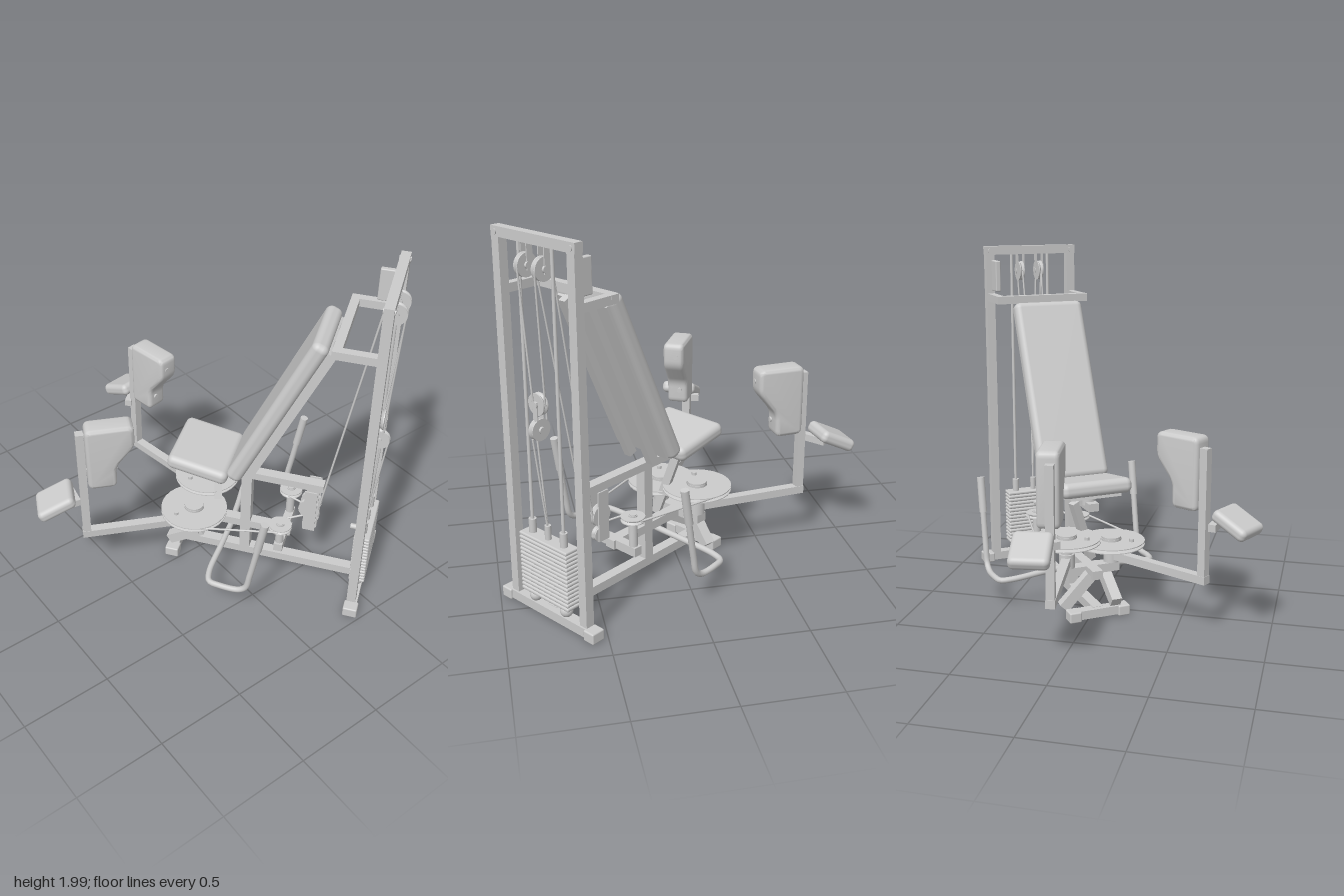
import * as THREE from 'three';
import { RoundedBoxGeometry } from 'three/addons/geometries/RoundedBoxGeometry.js';
import { toCreasedNormals } from 'three/addons/utils/BufferGeometryUtils.js';

const grey = new THREE.MeshStandardMaterial({ color: 0xcccccc });
const V = (x, y, z) => new THREE.Vector3(x, y, z);

function add(parent, name, geometry, x = 0, y = 0, z = 0) {
  const mesh = new THREE.Mesh(geometry, grey);
  mesh.name = name;
  mesh.position.set(x, y, z);
  parent.add(mesh);
  return mesh;
}
const box = (parent, name, w, h, d, x, y, z) => add(parent, name, new THREE.BoxGeometry(w, h, d), x, y, z);
const pad = (parent, name, w, h, d, r, x, y, z) => add(parent, name, new RoundedBoxGeometry(w, h, d, 4, r), x, y, z);
const cyl = (parent, name, r, h, x, y, z) => add(parent, name, new THREE.CylinderGeometry(r, r, h, 20), x, y, z);

// Round rod or cable between two points
function rod(parent, name, a, b, r) {
  const mesh = cyl(parent, name, r, a.distanceTo(b), 0, 0, 0);
  mesh.position.copy(a).add(b).multiplyScalar(0.5);
  mesh.quaternion.setFromUnitVectors(V(0, 1, 0), b.clone().sub(a).normalize());
  return mesh;
}

// Square tube between two points
function beam(parent, name, a, b, w, h = w) {
  const mesh = box(parent, name, w, h, a.distanceTo(b), 0, 0, 0);
  mesh.position.copy(a).add(b).multiplyScalar(0.5);
  mesh.lookAt(b);
  return mesh;
}

// Grooved wheel, axis along x, y or z
function pulley(parent, name, r, w, axis, x, y, z) {
  const h = w / 2;
  const pts = [[0, -h], [r, -h], [r, -h * 0.6], [r * 0.85, 0], [r, h * 0.6], [r, h], [0, h]]
    .map(p => new THREE.Vector2(p[0], p[1]));
  const mesh = add(parent, name, toCreasedNormals(new THREE.LatheGeometry(pts, 28), 0.5), x, y, z);
  if (axis === 'x') mesh.rotation.z = Math.PI / 2;
  if (axis === 'z') mesh.rotation.x = Math.PI / 2;
  rod(mesh, name + 'Hub', V(0, -h - 0.012, 0), V(0, h + 0.012, 0), r * 0.3);
  return mesh;
}

// Polygon with rounded corners
function roundedShape(points, r) {
  const p = points.map(q => new THREE.Vector2(q[0], q[1]));
  const s = new THREE.Shape();
  p.forEach((c, i) => {
    const prev = p[(i + p.length - 1) % p.length], next = p[(i + 1) % p.length];
    const a = c.clone().add(prev.clone().sub(c).setLength(r));
    const b = c.clone().add(next.clone().sub(c).setLength(r));
    if (i) s.lineTo(a.x, a.y); else s.moveTo(a.x, a.y);
    s.quadraticCurveTo(c.x, c.y, b.x, b.y);
  });
  s.closePath();
  return s;
}

function buildFrame(m) {
  // Base
  box(m, 'rearBaseBar', 0.62, 0.05, 0.06, 0, 0.035, -0.965);
  box(m, 'frontBaseBar', 0.3, 0.05, 0.06, 0, 0.035, 0.14);
  box(m, 'baseSpine', 0.06, 0.05, 1.1, 0, 0.037, -0.41);
  for (const s of [-1, 1]) {
    pad(m, 'rearFoot', 0.07, 0.06, 0.08, 0.008, s * 0.31, 0.03, -0.965);
    pad(m, 'frontFoot', 0.07, 0.06, 0.08, 0.008, s * 0.145, 0.03, 0.14);
    beam(m, 'frontLeg', V(s * 0.1, 0.05, 0.14), V(s * 0.1, 0.24, 0), 0.06);
    // Tower
    box(m, 'towerPost', 0.05, 1.92, 0.05, s * 0.257, 1.0, -0.96);
    box(m, 'towerSideRail', 0.045, 0.045, 0.24, s * 0.257, 1.69, -0.84);
    rod(m, 'boltHead', V(s * 0.257, 1.965, -0.99), V(s * 0.257, 1.965, -0.93), 0.014);
  }
  box(m, 'towerTopBar', 0.57, 0.05, 0.05, 0, 1.967, -0.96);
  box(m, 'towerFrontBar', 0.56, 0.045, 0.045, 0, 1.69, -0.74);
  pad(m, 'counterBox', 0.03, 0.18, 0.1, 0.006, -0.235, 1.82, -0.9);
  // Centre column and beams
  box(m, 'centrePost', 0.06, 0.59, 0.06, 0, 0.33, -0.27);
  box(m, 'lowerBeam', 0.06, 0.05, 0.68, 0, 0.245, -0.2);
  box(m, 'frontCrossBeam', 0.34, 0.05, 0.07, 0, 0.245, 0.01);
  box(m, 'rearCrossBeam', 0.34, 0.05, 0.05, 0, 0.245, -0.5);
  box(m, 'seatBeam', 0.06, 0.045, 0.79, 0, 0.62, -0.315);
  beam(m, 'seatStrut', V(0, 0.25, -0.06), V(0, 0.62, -0.13), 0.045);
}

function buildSeat(m) {
  const seat = pad(m, 'seatCushion', 0.41, 0.085, 0.35, 0.035, 0, 0.72, -0.02);
  seat.rotation.x = -0.17;
  box(seat, 'seatPlate', 0.3, 0.02, 0.26, 0, -0.05, 0);
  rod(m, 'seatBolt', V(0, 0.62, 0), V(0, 0.69, 0), 0.04);
  const back = new THREE.Group();
  back.name = 'backrest';
  back.position.set(0, 1.19, -0.44);
  back.rotation.x = -0.425;
  m.add(back);
  pad(back, 'backCushion', 0.415, 1.06, 0.09, 0.035, 0, 0, 0);
  box(back, 'backBoard', 0.36, 1.0, 0.02, 0, 0, -0.05);
  for (const s of [-1, 1]) box(back, 'backRail', 0.045, 1.05, 0.05, s * 0.08, -0.01, -0.08);
}

function buildWeights(m) {
  const n = 15;
  for (let i = 0; i < n; i++) pad(m, 'weightPlate', 0.35, 0.019, 0.09, 0.008, 0, 0.125 + i * 0.0225, -0.965);
  box(m, 'weightCore', 0.32, 0.33, 0.07, 0, 0.28, -0.965);
  for (const s of [-1, 1]) {
    rod(m, 'guideRod', V(s * 0.115, 0.06, -0.965), V(s * 0.115, 1.95, -0.965), 0.009);
    cyl(m, 'guideCollar', 0.02, 0.08, s * 0.115, 0.485, -0.965);
    add(m, 'rubberBuffer', new THREE.SphereGeometry(0.034, 20, 14), s * 0.115, 0.085, -0.965);
    // Overhead pulleys
    pulley(m, 'topPulley', 0.058, 0.028, 'x', s * 0.06, 1.84, -0.975);
    for (const t of [-1, 1]) box(m, 'topPulleyBracket', 0.006, 0.14, 0.035, s * 0.06 + t * 0.02, 1.885, -0.965);
  }
  cyl(m, 'selectorStem', 0.017, 0.08, 0, 0.485, -0.965);
  rod(m, 'selectorPin', V(0, 0.37, -0.93), V(0, 0.37, -0.88), 0.016);
  // Travelling double pulley
  pulley(m, 'upperFloatingPulley', 0.056, 0.03, 'z', 0.015, 1.17, -0.975);
  pulley(m, 'lowerFloatingPulley', 0.056, 0.03, 'x', 0.015, 1.04, -0.975);
  for (const t of [-1, 1]) box(m, 'floatingPulleyBracket', 0.03, 0.17, 0.006, 0.015, 1.1, -0.975 + t * 0.02);
  // Cables
  const c = (a, b) => rod(m, 'cable', a, b, 0.005);
  c(V(0, 0.5, -0.965), V(0.015, 1.0, -1.02));
  c(V(0.015, 1.03, -0.925), V(0.06, 1.84, -0.925));
  c(V(-0.035, 1.17, -0.975), V(-0.06, 1.84, -1.025));
  c(V(0.0, 0.52, -0.965), V(0.06, 1.84, -1.025));
  for (const s of [-1, 1]) c(V(s * 0.06, 1.84, -0.92), V(s * 0.035, 0.46, -0.69));
}

function buildDrive(m) {
  // Guide pulleys under the rear end of the seat beam
  for (const t of [-1, 0, 1]) box(m, 'guideBracket', 0.008, 0.28, 0.07, t * 0.07, 0.48, -0.65);
  for (const s of [-1, 1]) {
    pulley(m, 'guidePulley', 0.06, 0.03, 'x', s * 0.035, 0.47, -0.64);
    pulley(m, 'lowerGuidePulley', 0.042, 0.03, 'x', s * 0.035, 0.365, -0.65);
    // Cam discs, idlers and the cables round them
    const y = s > 0 ? 0.385 : 0.43, x = s * 0.135;
    pulley(m, 'camDisc', 0.19, 0.026, 'y', x, y, 0.01);
    cyl(m, 'camHub', 0.055, 0.05, x, y + 0.01, 0.01);
    cyl(m, 'camShaft', 0.032, y - 0.19, x, (y + 0.26) / 2, 0.01);
    cyl(m, 'camBolt', 0.014, 0.04, x + 0.09, y + 0.01, 0.09);
    pulley(m, 'idlerPulley', 0.065, 0.026, 'y', x, y, -0.5);
    cyl(m, 'idlerShaft', 0.024, y - 0.2, x, (y + 0.24) / 2, -0.5);
    rod(m, 'driveCable', V(x + s * 0.17, y, 0.01), V(x + s * 0.057, y, -0.5), 0.006);
    rod(m, 'driveCable', V(x - s * 0.057, y, -0.5), V(s * 0.035, 0.42, -0.63), 0.006);
  }
}

function buildArm(m, s) {
  const arm = new THREE.Group();
  arm.name = s > 0 ? 'leftLegArm' : 'rightLegArm';
  arm.position.set(s * 0.135, 0, 0.01);
  arm.rotation.y = s * THREE.MathUtils.degToRad(28);
  m.add(arm);
  cyl(arm, 'armPivot', 0.045, 0.08, 0, 0.31, 0);
  box(arm, 'armTube', 0.05, 0.045, 0.65, 0, 0.312, 0.325);
  box(arm, 'armUpright', 0.045, 0.74, 0.045, 0, 0.66, 0.625);
  // Knee pad
  const shape = roundedShape([[0.6, 0.685], [0.6, 1.085], [0.335, 1.085], [0.335, 0.95], [0.44, 0.82], [0.44, 0.685]], 0.035);
  const b = 0.022, depth = 0.12;
  const geo = new THREE.ExtrudeGeometry(shape, {
    depth: depth - 2 * b, bevelThickness: b, bevelSize: b, bevelOffset: -b, bevelSegments: 4, curveSegments: 5
  });
  geo.translate(0, 0, b - depth / 2).rotateY(-Math.PI / 2);
  add(arm, 'kneePad', toCreasedNormals(geo, 0.8), s * 0.015, 0, 0);
  for (const y of [0.77, 1.01]) rod(arm, 'kneePadBolt', V(0, y, y > 0.9 ? 0.33 : 0.43), V(0, y, 0.62), 0.014);
  // Ankle pad
  beam(arm, 'anklePadBracket', V(0, 0.62, 0.61), V(s * 0.05, 0.64, 0.77), 0.04);
  const ankle = pad(arm, 'anklePad', 0.205, 0.07, 0.22, 0.028, s * 0.07, 0.645, 0.785);
  ankle.rotation.x = 0.45;
}

function buildHandle(m, s) {
  const path = [[0, 0.2, -0.18], [0.2, 0.19, -0.17], [0.4, 0.175, -0.16], [0.465, 0.17, -0.18], [0.48, 0.17, -0.24],
    [0.48, 0.17, -0.35], [0.48, 0.2, -0.392], [0.48, 0.3, -0.415], [0.48, 0.69, -0.483]]
    .map(p => V(s * p[0], p[1], p[2]));
  const curve = new THREE.CatmullRomCurve3(path, false, 'centripetal');
  add(m, 'handleTube', new THREE.TubeGeometry(curve, 70, 0.017, 12));
  rod(m, 'handGrip', V(s * 0.48, 0.5, -0.45), V(s * 0.48, 0.7, -0.485), 0.022);
}

export function createModel() {
  const root = new THREE.Group();
  root.name = 'hipAbductionMachine';
  // The machine is built facing +z, then turned to its standing angle
  const m = new THREE.Group();
  m.name = 'machine';
  m.position.set(-0.026, 0, -0.036);
  m.rotation.y = THREE.MathUtils.degToRad(-54);
  root.add(m);
  buildFrame(m);
  buildSeat(m);
  buildWeights(m);
  buildDrive(m);
  for (const s of [-1, 1]) {
    buildArm(m, s);
    buildHandle(m, s);
  }
  return root;
}
